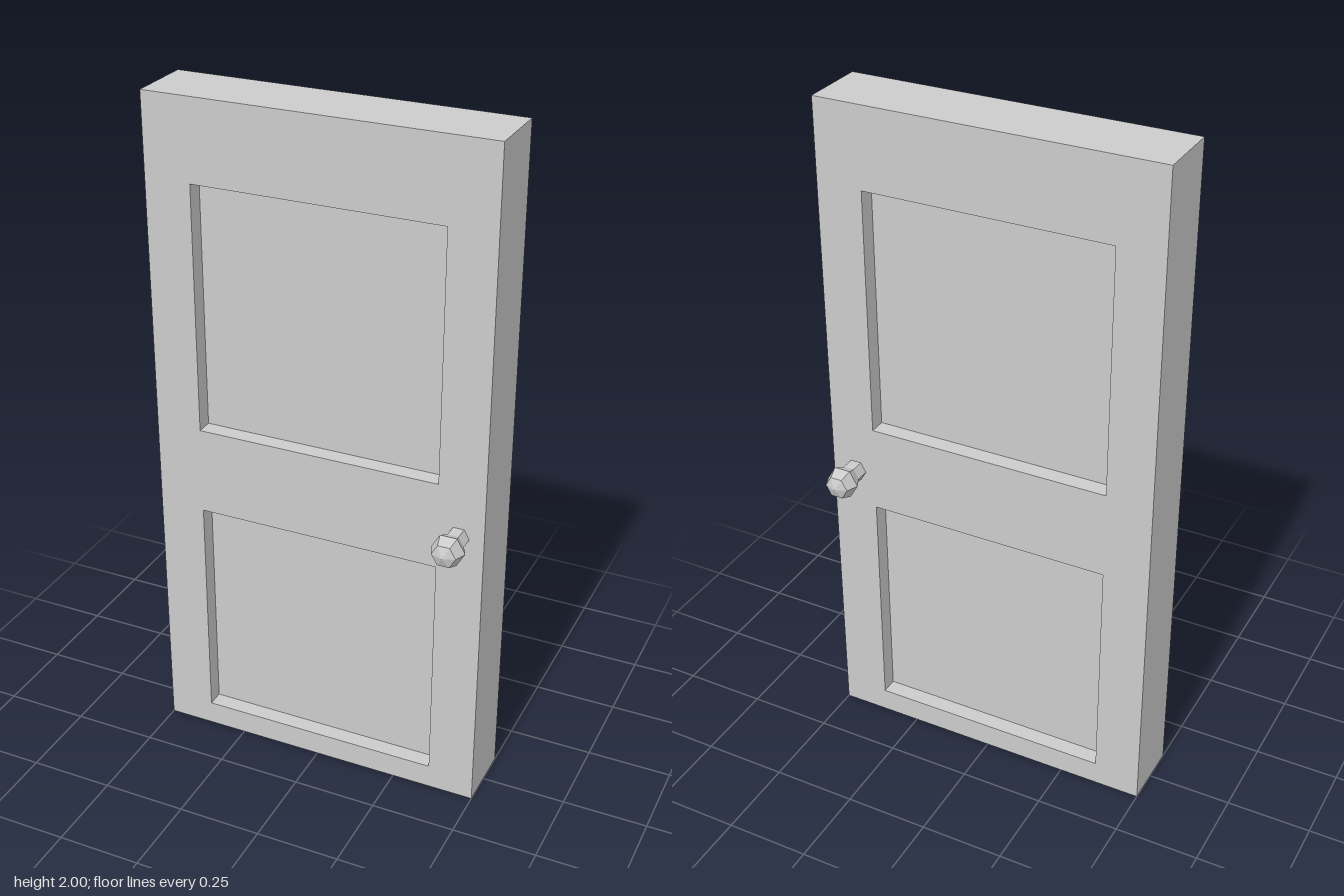
import * as THREE from 'three';

export function createModel() {
  const model = new THREE.Group();
  const material = new THREE.MeshStandardMaterial({ color: 0xcccccc, flatShading: true });

  const add = (name, geometry, x = 0, y = 0, z = 0) => {
    const mesh = new THREE.Mesh(geometry, material);
    mesh.name = name;
    mesh.position.set(x, y, z);
    model.add(mesh);
    return mesh;
  };

  const rectangle = (target, x, y0, y1) => {
    target.moveTo(-x, y0);
    target.lineTo(x, y0);
    target.lineTo(x, y1);
    target.lineTo(-x, y1);
    target.closePath();
    return target;
  };

  // Door frame with two openings
  const halfDepth = 0.1;
  const panelX = 0.363;
  const openings = [
    { name: 'lowerPanel', y0: 0.073, y1: 0.768 },
    { name: 'upperPanel', y0: 1.03, y1: 1.763 },
  ];
  const outline = rectangle(new THREE.Shape(), 0.5, 0, 2);
  for (const { y0, y1 } of openings) {
    outline.holes.push(rectangle(new THREE.Path(), panelX, y0, y1));
  }
  const frame = new THREE.ExtrudeGeometry(outline, { depth: halfDepth * 2, bevelEnabled: false });
  add('doorFrame', frame, 0, 0, -halfDepth);

  // Panels recessed on both faces
  for (const { name, y0, y1 } of openings) {
    add(name, new THREE.BoxGeometry(panelX * 2, y1 - y0, 0.1), 0, (y0 + y1) / 2);
  }

  // Six-sided knobs, one on each face
  const profile = [
    [0.032, 0.1], [0.032, 0.14], [0.049, 0.174], [0.035, 0.209], [0, 0.222],
  ].map(([r, d]) => new THREE.Vector2(r, d));
  const knob = new THREE.LatheGeometry(profile, 6, Math.PI / 2).rotateX(Math.PI / 2);
  add('frontKnob', knob, 0.425, 0.88);
  add('backKnob', knob, 0.425, 0.88).rotation.y = Math.PI;

  return model;
}
